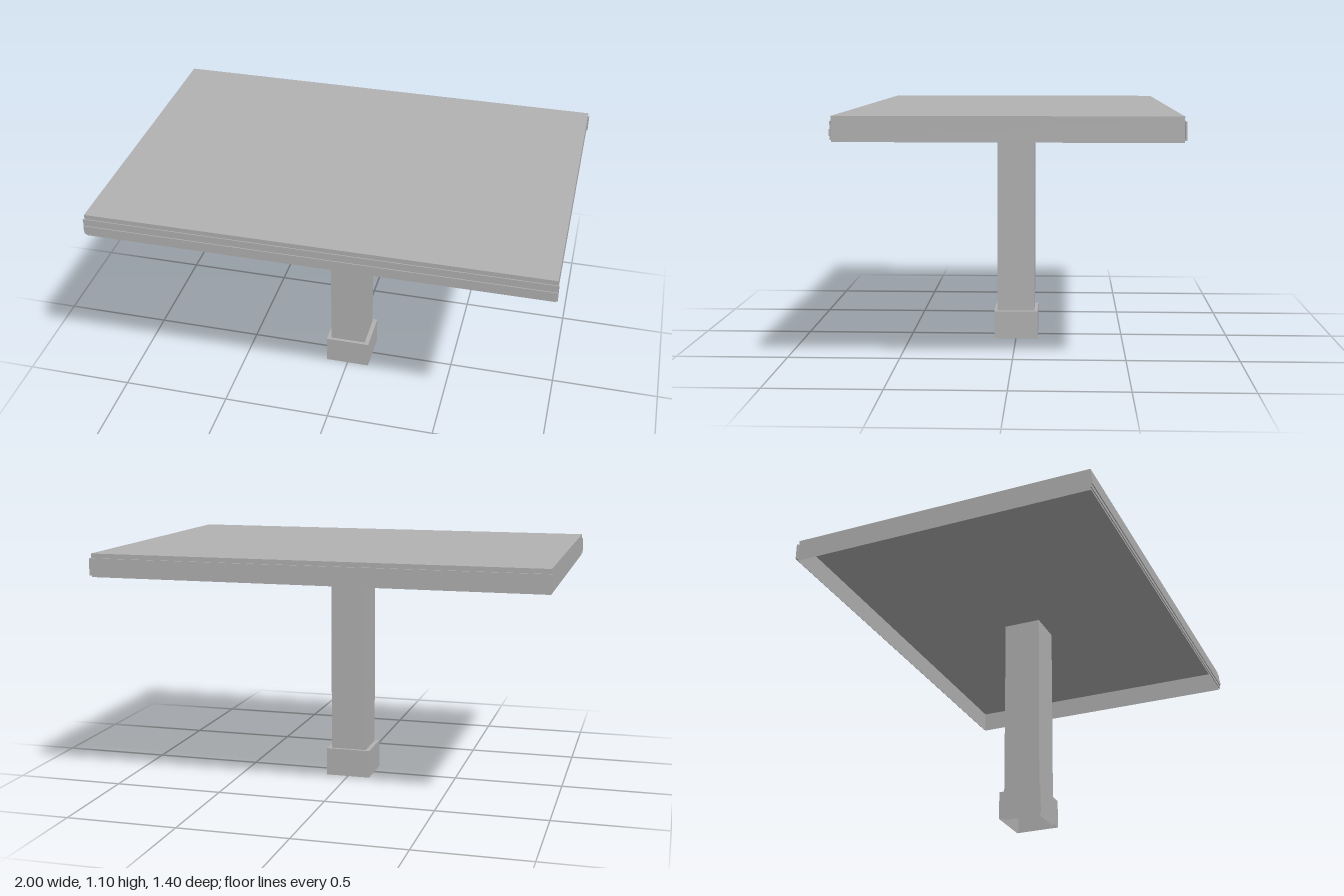
import * as THREE from 'three';

const grey = new THREE.MeshStandardMaterial({ color: 0xb2b2b2, side: THREE.DoubleSide });
grey.name = 'painted grey metal';

// Box spanning y0..y1; faces listed in "open" are left out (2 = top, 3 = bottom)
function box(name, w, d, y0, y1, open = [], x = 0, z = 0) {
  const geo = new THREE.BoxGeometry(w, y1 - y0, d);
  const index = Array.from(geo.index.array);
  geo.setIndex(index.filter((_, i) => !open.includes(Math.floor(i / 6))));
  geo.clearGroups();
  const mesh = new THREE.Mesh(geo, grey);
  mesh.name = name;
  mesh.position.set(x, (y0 + y1) / 2, z);
  return mesh;
}

export function createModel() {
  const model = new THREE.Group();
  model.name = 'canopy';

  // Column: hollow shaft standing in a sleeve that is open below
  model.add(box('columnShaft', 0.166, 0.174, 0, 1.0, [2, 3]));
  model.add(box('columnBase', 0.208, 0.204, 0, 0.13, [3]));

  // Roof: thin sheet shell, open below
  model.add(box('roofShell', 1.988, 1.382, 0.997, 1.1, [3]));

  // Fascia boards on the front and back edges
  model.add(box('frontFascia', 2, 0.004, 1.005, 1.08, [], 0, 0.694));
  model.add(box('frontFasciaBand', 2, 0.004, 1.022, 1.048, [], 0, 0.698));
  model.add(box('backFascia', 2, 0.008, 1.005, 1.08, [], 0, -0.696));

  // Four flat lamps in a row, level with the lower rim
  for (const x of [-0.65, -0.217, 0.217, 0.65]) {
    const lamp = new THREE.Mesh(new THREE.PlaneGeometry(0.213, 0.337), grey);
    lamp.name = 'lamp';
    lamp.rotation.x = Math.PI / 2;
    lamp.position.set(x, 1.0, 0);
    model.add(lamp);
  }
  return model;
}
